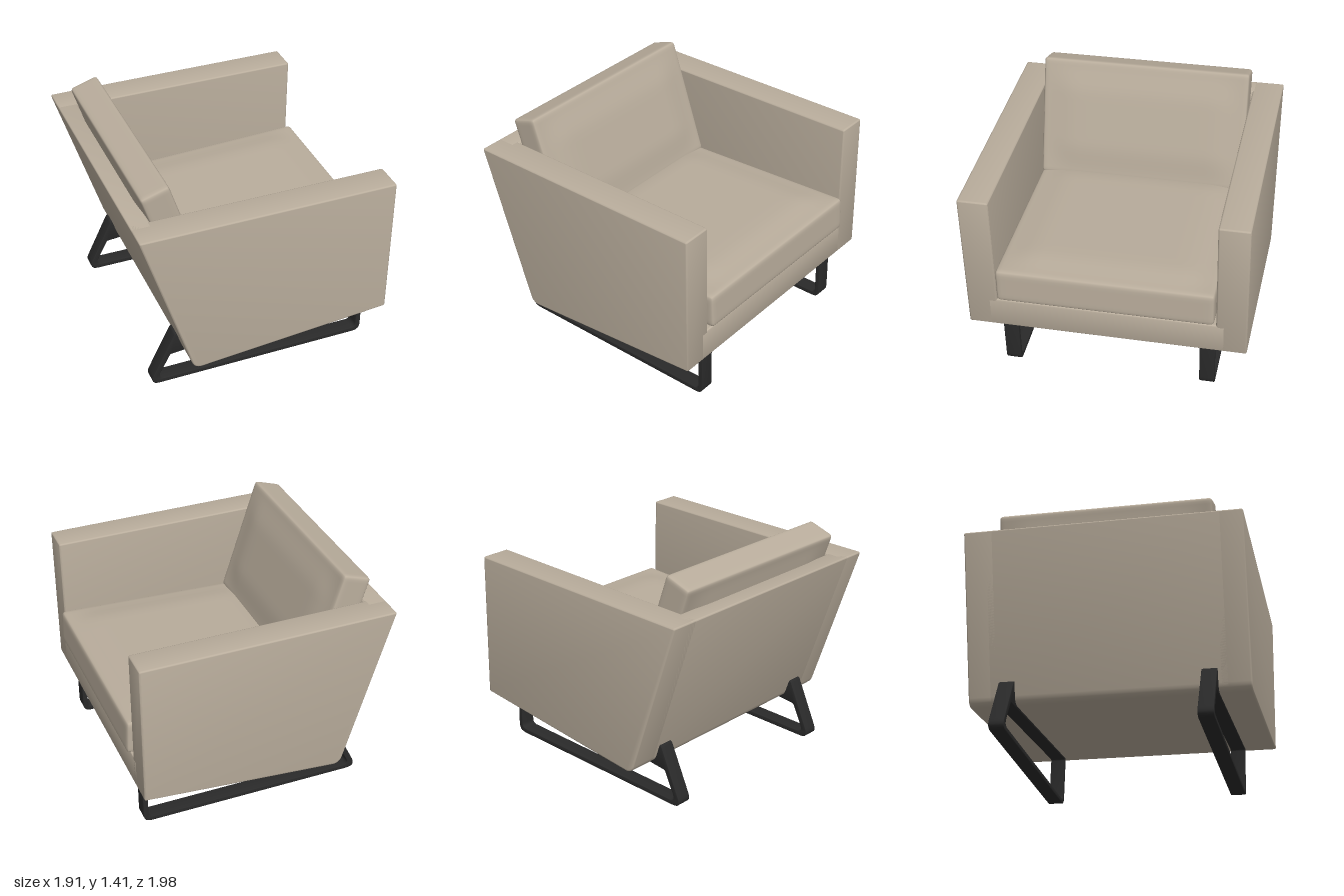
import * as THREE from 'three';
import { mergeVertices, toCreasedNormals } from 'three/addons/utils/BufferGeometryUtils.js';

const fabric = new THREE.MeshStandardMaterial({ color: 0xb9ad9c });
const metal = new THREE.MeshStandardMaterial({ color: 0x2a2a2a });

// Closed outline through [x, y, radius] corners, each rounded off
function roundedOutline(corners, target = new THREE.Shape()) {
  const n = corners.length;
  corners.forEach(([x, y, r], i) => {
    const toward = ([px, py]) => {
      const d = Math.hypot(px - x, py - y);
      return [x + (px - x) * r / d, y + (py - y) * r / d];
    };
    const a = toward(corners[(i + n - 1) % n]);
    const b = toward(corners[(i + 1) % n]);
    if (i === 0) target.moveTo(...a); else target.lineTo(...a);
    if (r > 0) target.quadraticCurveTo(x, y, ...b);
  });
  target.closePath();
  return target;
}

// Side profile extruded across z, centred on z, with soft edges
function slab(name, shape, width, bevel, material, z = 0) {
  const geometry = new THREE.ExtrudeGeometry(shape, {
    depth: width - 2 * bevel, curveSegments: 6,
    bevelSize: bevel, bevelThickness: bevel, bevelOffset: -bevel, bevelSegments: 3,
  });
  geometry.translate(0, 0, bevel - width / 2);
  const mesh = new THREE.Mesh(toCreasedNormals(geometry, 0.6), material);
  mesh.name = name;
  mesh.position.z = z;
  return mesh;
}

// Padded block: rounded edges, large faces swelling toward the middle
function cushion(name, length, thickness, width, radius, bulge) {
  const box = new THREE.BoxGeometry(2, 2, 2, 28, 12, 28);
  box.deleteAttribute('uv');
  box.deleteAttribute('normal');
  const geometry = mergeVertices(box);
  const half = new THREE.Vector3(length, thickness, width).multiplyScalar(0.5);
  const core = half.clone().subScalar(radius);
  const p = new THREE.Vector3(), inner = new THREE.Vector3();
  const position = geometry.attributes.position;
  const swell = (v, h) => THREE.MathUtils.smoothstep(h - Math.abs(v), 0, 0.22);
  for (let i = 0; i < position.count; i++) {
    p.fromBufferAttribute(position, i);
    // crowd the grid toward the edges
    p.set(...p.toArray().map((t) => Math.sin(t * Math.PI / 2))).multiply(half);
    inner.copy(p).clamp(core.clone().negate(), core);
    p.sub(inner).setLength(radius);
    if (p.lengthSq() > 0) p.add(inner); else p.copy(inner);
    p.y += (p.y / half.y) * bulge * swell(p.x, half.x) * swell(p.z, half.z);
    position.setXYZ(i, p.x, p.y, p.z);
  }
  geometry.computeVertexNormals();
  const mesh = new THREE.Mesh(geometry, fabric);
  mesh.name = name;
  return mesh;
}

export function createModel() {
  const chair = new THREE.Group();
  chair.name = 'armchair';

  // Seat base and slanted back in one L-shaped profile
  const shell = roundedOutline([
    [-0.775, 1.218, 0.015], [-0.46, 0.235, 0.05], [0.76, 0.337, 0.012],
    [0.76, 0.525, 0.012], [-0.41, 0.46, 0], [-0.655, 1.218, 0.01],
  ]);
  chair.add(slab('seatBaseAndBack', shell, 1.4, 0.01, fabric));

  // Arms: full-height side panels
  const arm = roundedOutline([
    [-0.775, 1.218, 0.015], [-0.46, 0.235, 0.05], [0.76, 0.337, 0.012], [0.76, 1.218, 0.012],
  ]);
  // Sled legs: closed flat-bar loops, upper run tucked into the base
  const sled = roundedOutline([
    [-0.675, 0.014, 0.07], [0.71, 0.014, 0.05], [0.71, 0.36, 0.01], [-0.511, 0.36, 0.012],
  ]);
  sled.holes.push(roundedOutline([
    [-0.628, 0.042, 0.05], [-0.54, 0.215, 0.01], [0.68, 0.32, 0.01], [0.68, 0.042, 0.03],
  ], new THREE.Path()));

  for (const [side, sign] of [['left', -1], ['right', 1]]) {
    chair.add(slab(side === 'left' ? 'leftArm' : 'rightArm', arm, 0.18, 0.01, fabric, sign * 0.735));
    chair.add(slab(side === 'left' ? 'leftSledLeg' : 'rightSledLeg', sled, 0.09, 0.003, metal, sign * 0.59));
  }

  // Loose cushions
  const seat = cushion('seatCushion', 1.23, 0.21, 1.275, 0.025, 0.025);
  seat.position.set(0.172, 0.625, 0);
  seat.rotation.z = 0.04;
  const back = cushion('backCushion', 0.74, 0.175, 1.275, 0.02, 0.02);
  back.position.set(-0.501, 1.028, 0);
  back.rotation.z = -1.255;
  chair.add(seat, back);

  // The chair stands turned, with a slight sideways lean
  chair.rotation.x = 0.021;
  chair.position.z = -0.025;
  const model = new THREE.Group();
  model.name = 'model';
  model.add(chair);
  model.rotation.y = -THREE.MathUtils.degToRad(15);
  return model;
}
